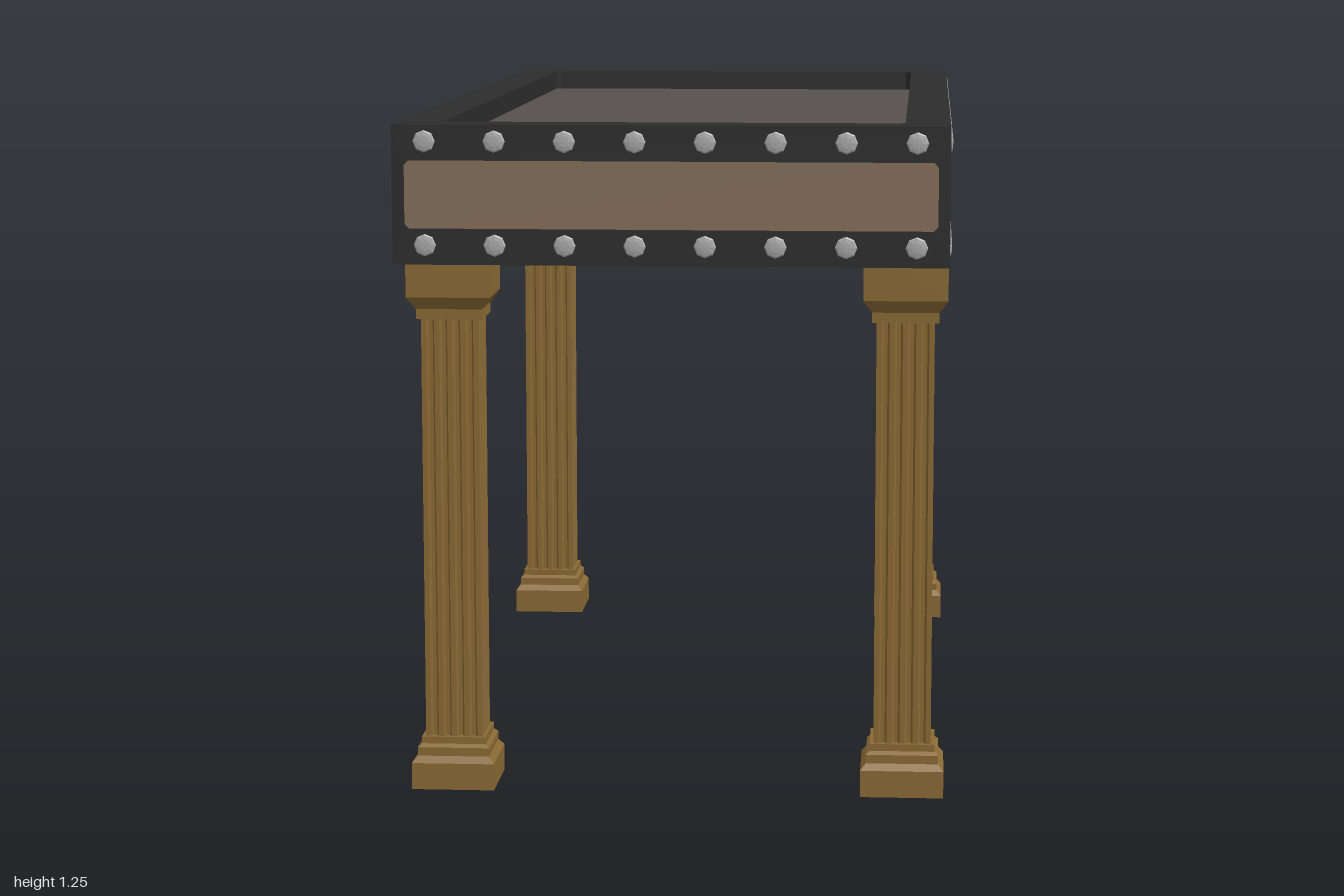
import * as THREE from 'three';

const paint = (name, color) => {
  const m = new THREE.MeshStandardMaterial({ color });
  m.name = name;
  return m;
};

// Split shared vertices so every face is flat
function flat(geometry) {
  const g = geometry.index ? geometry.toNonIndexed() : geometry;
  g.computeVertexNormals();
  return g;
}

// Rectangle with cut corners, given half sizes
function rectPath(hw, hh, cut = 0, Type = THREE.Shape, cx = 0, cy = 0) {
  const corners = cut
    ? [[-hw + cut, -hh], [hw - cut, -hh], [hw, -hh + cut], [hw, hh - cut],
      [hw - cut, hh], [-hw + cut, hh], [-hw, hh - cut], [-hw, -hh + cut]]
    : [[-hw, -hh], [hw, -hh], [hw, hh], [-hw, hh]];
  return new Type(corners.map(([x, y]) => new THREE.Vector2(x + cx, y + cy)));
}

// Flat frame: rectangle with a rectangular hole
function ring(hw, hh, iw, ih, depth, cut) {
  const s = rectPath(hw, hh);
  s.holes.push(rectPath(iw, ih, cut, THREE.Path));
  return new THREE.ExtrudeGeometry(s, { depth, bevelEnabled: false });
}

// Square stepped moulding from [half width, y] pairs
function squareLathe(profile) {
  const pts = profile.map(([h, y]) => new THREE.Vector2(h * Math.SQRT2, y));
  return flat(new THREE.LatheGeometry(pts, 4, Math.PI / 4));
}

// Square outline with grooves along each side
function flutedShape(h, flutes, depth) {
  const pts = [];
  const step = (2 * h) / (flutes + 0.4);
  for (let k = 0; k < 4; k++) {
    const a = (k * Math.PI) / 2;
    const add = (x, y) => pts.push(new THREE.Vector2(
      x * Math.cos(a) - y * Math.sin(a), x * Math.sin(a) + y * Math.cos(a)));
    add(-h, -h);
    for (let i = 0; i < flutes; i++) {
      const x = -h + step * (i + 0.4);
      add(x, -h);
      add(x + step * 0.15, -h + depth);
      add(x + step * 0.45, -h + depth);
      add(x + step * 0.6, -h);
    }
  }
  return new THREE.Shape(pts);
}

export function createModel() {
  const black = paint('black iron', 0x2d2d2d);
  const wood = paint('brown panel', 0x85705a);
  const slate = paint('dark slate', 0x56514f);
  const stone = paint('light stone', 0x8b8b89);
  const steel = paint('rivet steel', 0xaaaaaa);
  const gold = paint('golden wood', 0x8a6a34);

  const model = new THREE.Group();
  const add = (parent, name, geometry, material, x = 0, y = 0, z = 0) => {
    const mesh = new THREE.Mesh(geometry, material);
    mesh.name = name;
    mesh.position.set(x, y, z);
    parent.add(mesh);
    return mesh;
  };

  const W = 0.496, L = 0.996, T = 0.012;

  // Four apron sides, each modelled facing +z and turned into place
  const rivet = flat(new THREE.SphereGeometry(0.02, 8, 3, 0, Math.PI * 2, 0, Math.PI / 2)
    .scale(1, 0.2, 1).rotateX(Math.PI / 2));
  for (let k = 0; k < 4; k++) {
    const long = k % 2 === 1;
    const dist = long ? W : L;
    const half = long ? L - T : W;
    const opening = long ? 0.975 : 0.475;
    const side = new THREE.Group();
    side.name = long ? 'longSide' : 'shortSide';
    side.rotation.y = (k * Math.PI) / 2;
    add(side, 'sideFrame', ring(half, 0.125, opening, 0.061, T, 0.008), black, 0, 1.125, dist - T);
    add(side, 'sidePanel', new THREE.BoxGeometry(opening * 2, 0.126, 0.006), wood,
      0, 1.125, dist - 0.011);
    const count = long ? 16 : 8;
    for (let i = 0; i < count; i++) {
      for (const y of [1.035, 1.22]) {
        add(side, 'rivet', rivet, steel, (i - (count - 1) / 2) * 0.125, y, dist);
      }
    }
    model.add(side);
  }

  // Rim around the table top and lip around the underside
  const rim = ring(W - T, L - T, 0.415, 0.915, 0.055, 0.012).rotateX(Math.PI / 2);
  add(model, 'topRim', rim, black, 0, 1.25, 0);
  const lip = ring(W - T, L - T, 0.466, 0.966, 0.055, 0).rotateX(Math.PI / 2);
  add(model, 'bottomLip', lip, black, 0, 1.055, 0);

  // Sunken table top
  add(model, 'tableTop', new THREE.BoxGeometry(0.9, 0.02, 1.9), slate, 0, 1.2, 0);

  // Underside with two rows of four sunken coffers
  const under = rectPath(0.47, 0.97);
  const coffer = squareLathe([[0, 1.1], [0.04, 1.1], [0.05, 1.08], [0.085, 1.08], [0.14, 1.02]]);
  for (const x of [-0.17, 0.17]) {
    for (let i = 0; i < 4; i++) {
      const z = (i - 1.5) * 0.375;
      under.holes.push(rectPath(0.14, 0.14, 0, THREE.Path, x, z));
      add(model, 'coffer', coffer, stone, x, 0, z);
    }
  }
  add(model, 'underside', new THREE.ShapeGeometry(under).rotateX(Math.PI / 2), stone, 0, 1.02, 0);

  // Legs: stepped base, fluted square shaft, flared capital
  const base = squareLathe([[0, 0], [0.077, 0], [0.077, 0.05], [0.067, 0.062],
    [0.067, 0.078], [0.06, 0.084], [0.06, 0.097], [0, 0.097]]);
  const shaft = flat(new THREE.ExtrudeGeometry(flutedShape(0.053, 4, 0.008),
    { depth: 0.8, bevelEnabled: false }).rotateX(-Math.PI / 2));
  const capital = squareLathe([[0, 0.883], [0.061, 0.883], [0.061, 0.902], [0.077, 0.925],
    [0.077, 1.02], [0, 1.02]]);
  for (const x of [-0.418, 0.418]) {
    for (const z of [-0.785, 0.785]) {
      const leg = new THREE.Group();
      leg.name = 'leg';
      leg.position.set(x, 0, z);
      add(leg, 'legBase', base, gold);
      add(leg, 'legShaft', shaft, gold, 0, 0.09, 0);
      add(leg, 'legCapital', capital, gold);
      model.add(leg);
    }
  }
  return model;
}
